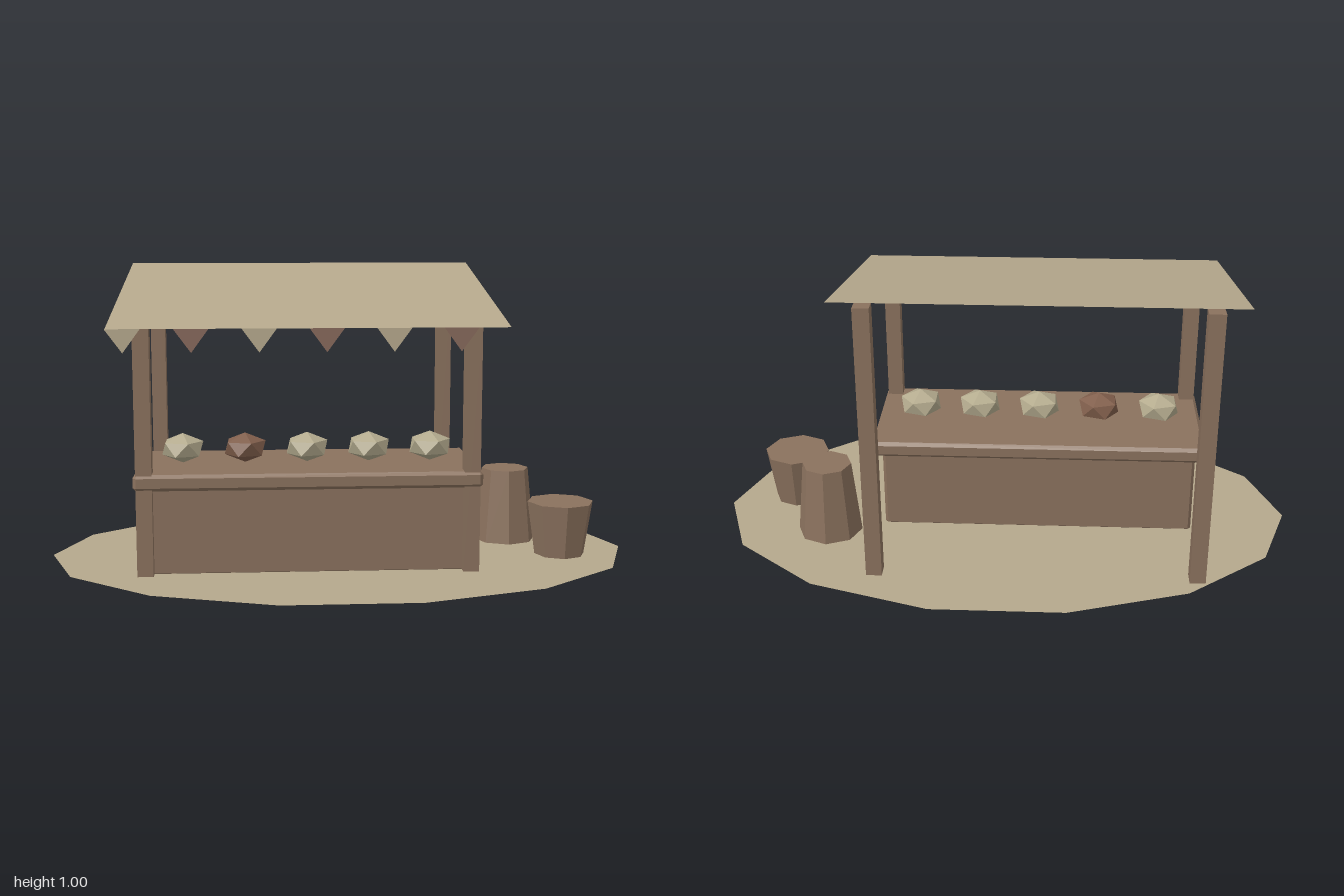
import * as THREE from 'three';
import { ConvexGeometry } from 'three/addons/geometries/ConvexGeometry.js';

const material = (name, color, extra = {}) => {
  const m = new THREE.MeshStandardMaterial({ color, flatShading: true, ...extra });
  m.name = name;
  return m;
};

// Box with every edge chamfered by b
function chamferBox(w, h, d, b) {
  const pts = [];
  for (const sx of [-1, 1]) for (const sy of [-1, 1]) for (const sz of [-1, 1]) {
    for (const k of [0, 1, 2]) {
      const inset = [b, b, b];
      inset[k] = 0;
      pts.push(new THREE.Vector3(
        sx * (w / 2 - inset[0]), sy * (h / 2 - inset[1]), sz * (d / 2 - inset[2])));
    }
  }
  return new ConvexGeometry(pts);
}

export function createModel() {
  const group = new THREE.Group();
  group.name = 'marketStall';

  const wood = material('wood', 0x8a715d);
  const cloth = material('sandCloth', 0xb5a88c, { side: THREE.DoubleSide });
  const russetCloth = material('russetCloth', 0x86685a, { side: THREE.DoubleSide });
  const paleFruit = material('paleFruit', 0xb4ab8e);
  const russetFruit = material('russetFruit', 0x815f4c);

  const add = (name, geometry, mat, x = 0, y = 0, z = 0) => {
    const mesh = new THREE.Mesh(geometry, mat);
    mesh.name = name;
    mesh.position.set(x, y, z);
    group.add(mesh);
    return mesh;
  };

  const cx = -0.118, cz = 0.078; // counter centre

  // Oval ground patch
  const ground = new THREE.CircleGeometry(1, 14).rotateX(-Math.PI / 2).scale(1, 1, 0.65);
  add('groundPatch', ground, cloth, 0, 0.008, 0);

  // Counter
  add('counterBody', chamferBox(1.085, 0.297, 0.375, 0.01), wood, cx, 0.1485, cz);
  add('counterTop', chamferBox(1.145, 0.054, 0.456, 0.011), wood, cx, 0.32, cz);

  // Four posts, taller at the back
  for (const side of [-1, 1]) {
    for (const [name, z, h] of [['frontPost', 0.272, 0.847], ['backPost', -0.423, 0.963]]) {
      add(name, new THREE.BoxGeometry(0.053, h, 0.053), wood, cx + side * 0.537, h / 2, z);
    }
  }

  // Sloping cloth roof
  const xl = -0.752, xr = 0.515, zBack = -0.505, zFront = 0.415, yBack = 1.003, yFront = 0.83;
  const roof = new THREE.PlaneGeometry(xr - xl, Math.hypot(zFront - zBack, yBack - yFront));
  roof.rotateX(-Math.PI / 2 + Math.atan2(yBack - yFront, zFront - zBack));
  add('awning', roof, cloth, (xl + xr) / 2, (yBack + yFront) / 2, (zFront + zBack) / 2);

  // Bunting along the front edge
  const flag = new THREE.ShapeGeometry(new THREE.Shape([
    new THREE.Vector2(-0.055, 0), new THREE.Vector2(0, -0.075), new THREE.Vector2(0.055, 0)]));
  for (let i = 0; i < 6; i++) {
    add('buntingFlag', flag, i % 2 ? russetCloth : cloth, -0.699 + i * 0.2115, yFront, zFront);
  }

  // Faceted fruit: icosahedron stood on a point and squashed
  const ring = (y, phase) => Array.from({ length: 5 }, (_, i) => {
    const a = phase + i * Math.PI * 0.4;
    return new THREE.Vector3(0.894 * Math.cos(a), y, 0.894 * Math.sin(a));
  });
  const fruit = new ConvexGeometry([
    new THREE.Vector3(0, 1, 0), ...ring(0.447, 0),
    ...ring(-0.447, Math.PI), new THREE.Vector3(0, -1, 0)]).scale(0.078, 0.051, 0.078);
  for (let i = 0; i < 5; i++) {
    add('fruit', fruit, i === 1 ? russetFruit : paleFruit, -0.54 + i * 0.2113, 0.397, cz);
  }

  // Two tapered tubs beside the counter
  add('tallTub', new THREE.CylinderGeometry(0.085, 0.113, 0.27, 8), wood, 0.613, 0.135, -0.155);
  add('shortTub', new THREE.CylinderGeometry(0.115, 0.086, 0.194, 8), wood, 0.766, 0.097, 0.077);

  return group;
}
